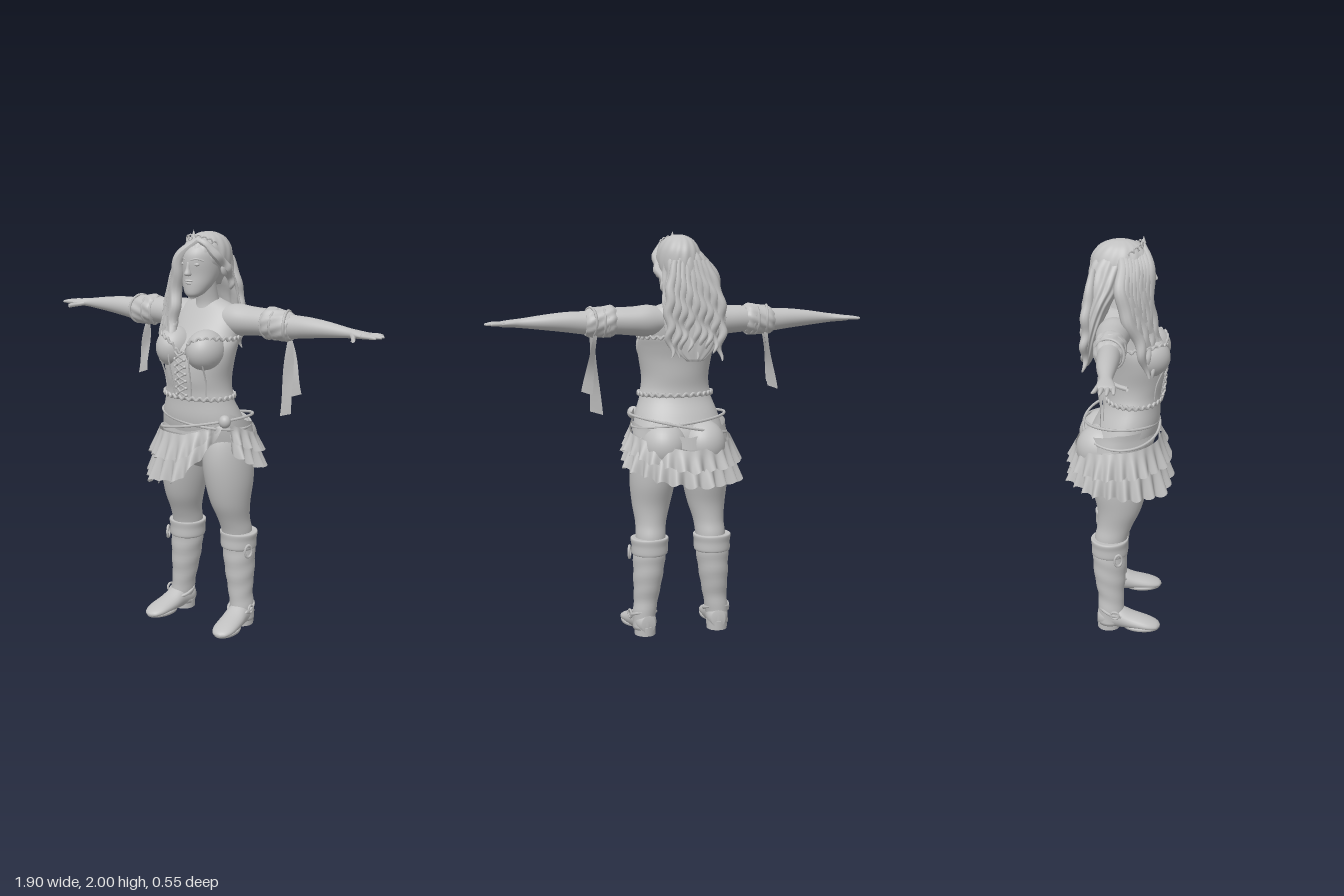
import * as THREE from 'three';

const V = (p) => new THREE.Vector3(...p);
const grey = new THREE.MeshStandardMaterial({ color: 0xc0c0c0, side: THREE.DoubleSide });
grey.name = 'grey';

function add(parent, name, geo, pos = [0, 0, 0], scale = [1, 1, 1], rot = [0, 0, 0]) {
  const m = new THREE.Mesh(geo, grey);
  m.name = name;
  m.position.set(...pos); m.scale.set(...scale); m.rotation.set(...rot);
  parent.add(m);
  return m;
}

function surface(pos, idx) {
  const g = new THREE.BufferGeometry();
  g.setAttribute('position', new THREE.Float32BufferAttribute(pos, 3));
  g.setIndex(idx);
  g.computeVertexNormals();
  return g;
}

// Smooth skin over elliptical rings [t, centreA, centreB, radiusA, radiusB] along an axis
const AXES = { y: (t, a, b) => [a, t, b], x: (t, a, b) => [t, a, b], z: (t, a, b) => [a, b, t] };
function loft(axis, rings, sides = 32, bump = () => 0, per = 5) {
  const mid = new THREE.CatmullRomCurve3(rings.map((r) => V([r[0], r[1], r[2]])), false, 'catmullrom', 0.5);
  const rad = new THREE.CatmullRomCurve3(rings.map((r) => V([r[3], r[4], 0])), false, 'catmullrom', 0.5);
  const n = (rings.length - 1) * per, pos = [], idx = [];
  for (let i = 0; i <= n; i++) {
    const c = mid.getPoint(i / n), r = rad.getPoint(i / n);
    for (let j = 0; j < sides; j++) {
      const a = (j / sides) * Math.PI * 2, k = 1 + bump(a, c.x, i / n);
      pos.push(...AXES[axis](c.x, c.y + Math.cos(a) * r.x * k, c.z + Math.sin(a) * r.y * k));
      if (i < n) {
        const p = i * sides + j, q = i * sides + (j + 1) % sides;
        idx.push(p, p + sides, q, q, p + sides, q + sides);
      }
    }
  }
  [0, n].forEach((i) => {
    const c = mid.getPoint(i / n), o = pos.length / 3;
    pos.push(...AXES[axis](c.x, c.y, c.z));
    for (let j = 0; j < sides; j++) {
      const p = i * sides + j, q = i * sides + (j + 1) % sides;
      idx.push(...(i ? [o, q, p] : [o, p, q]));
    }
  });
  return surface(pos, idx);
}

const ball = new THREE.SphereGeometry(1, 32, 20);
const tube = (pts, r, closed = false, seg = 60) =>
  new THREE.TubeGeometry(new THREE.CatmullRomCurve3(pts.map(V), closed), seg, r, 6, closed);

// Tapered wavy lock of hair
function lock(pts, r, phase) {
  const seg = 40, g = new THREE.TubeGeometry(new THREE.CatmullRomCurve3(pts.map(V)), seg, r, 10);
  const c = new THREE.CatmullRomCurve3(pts.map(V)), p = g.attributes.position;
  for (let i = 0; i < p.count; i++) {
    const t = Math.floor(i / 11) / seg, o = c.getPointAt(t), v = new THREE.Vector3().fromBufferAttribute(p, i);
    v.sub(o).multiplyScalar(Math.pow(Math.sin(Math.PI * (0.12 + 0.87 * t)), 0.6)).add(o);
    v.x += 0.012 * t * Math.sin(t * 24 + phase);
    v.z += 0.009 * t * Math.cos(t * 21 + phase);
    p.setXYZ(i, v.x, v.y, v.z);
  }
  g.computeVertexNormals();
  return g;
}

// Smooth interpolation through [u, y] keys
const keys = (list) => (u) => {
  let i = 0;
  while (i < list.length - 2 && u > list[i + 1][0]) i++;
  const [a, ya] = list[i], [b, yb] = list[i + 1];
  return THREE.MathUtils.lerp(ya, yb, THREE.MathUtils.clamp((u - a) / (b - a), 0, 1));
};

// Cloth wrapped round the hips, from the knot past the front and back to the slit
function wrap(top, bottom, off, slope, pleats, amp) {
  const n = 260, m = 6, pos = [], idx = [];
  for (let i = 0; i <= n; i++) for (let j = 0; j <= m; j++) {
    const u = i / n, v = j / m, th = 0.85 - 6.1 * u, w = u * pleats * 6.283;
    const y = THREE.MathUtils.lerp(top(u), bottom(u), v) + amp * 0.5 * v * Math.sin(w + 1);
    const d = off + slope * Math.max(0, 1.05 - y) + amp * v * (Math.sin(w) + 0.4 * Math.sin(w * 0.37 + 2));
    pos.push(Math.sin(th) * (0.236 + d), y, Math.cos(th) * (0.185 + d));
    if (i < n && j < m) {
      const p = i * (m + 1) + j, q = p + m + 1;
      idx.push(p, q, p + 1, p + 1, q, q + 1);
    }
  }
  return surface(pos, idx);
}

function buildBody(g) {
  add(g, 'torso', loft('y', [[0.83, 0, 0, 0.09, 0.07], [0.9, 0, 0, 0.21, 0.14], [1, 0, 0.01, 0.23, 0.165],
    [1.1, 0, 0.04, 0.212, 0.155], [1.2, 0, 0.065, 0.178, 0.13], [1.3, 0, 0.07, 0.165, 0.138], [1.42, 0, 0.06, 0.182, 0.14],
    [1.5, 0, 0.02, 0.185, 0.12], [1.58, 0, -0.01, 0.18, 0.095], [1.63, 0, -0.02, 0.14, 0.07], [1.66, 0, -0.02, 0.06, 0.05]], 48));
  add(g, 'neck', loft('y', [[1.6, 0, -0.01, 0.075, 0.07], [1.66, 0, 0, 0.056, 0.056], [1.78, 0, 0.03, 0.053, 0.055]]));
  // Head and face
  add(g, 'head', loft('y', [[1.682, 0, 0.115, 0.022, 0.022], [1.7, 0, 0.1, 0.048, 0.05], [1.74, 0, 0.075, 0.071, 0.077],
    [1.79, 0, 0.05, 0.085, 0.1], [1.85, 0, 0.035, 0.092, 0.12], [1.9, 0, 0.025, 0.09, 0.12], [1.95, 0, 0.01, 0.065, 0.09], [1.97, 0, 0, 0.02, 0.03]]));
  add(g, 'nose', loft('y', [[1.785, 0, 0.15, 0.013, 0.012], [1.795, 0, 0.155, 0.017, 0.022], [1.82, 0, 0.15, 0.01, 0.016], [1.85, 0, 0.147, 0.008, 0.01]], 12));
  add(g, 'upperLip', ball, [0, 1.762, 0.147], [0.024, 0.006, 0.012]);
  add(g, 'lowerLip', ball, [0, 1.75, 0.144], [0.02, 0.007, 0.012]);
}

// Parts shared by both sides, modelled for +x
function buildSide(s) {
  add(s, 'eye', ball, [0.035, 1.84, 0.136], [0.018, 0.009, 0.012]);
  add(s, 'brow', tube([[0.014, 1.86, 0.15], [0.038, 1.866, 0.141], [0.065, 1.857, 0.118]], 0.005));
  add(s, 'ear', ball, [0.103, 1.81, 0.005], [0.013, 0.034, 0.022], [0.2, 0, 0]);
  add(s, 'breast', ball, [0.09, 1.435, 0.135], [0.09, 0.1, 0.108]);
  add(s, 'buttock', ball, [0.098, 0.96, -0.09], [0.115, 0.125, 0.125]);
  add(s, 'arm', loft('x', [[0.08, 1.57, -0.02, 0.06, 0.07], [0.16, 1.57, -0.025, 0.077, 0.08], [0.24, 1.57, -0.03, 0.07, 0.075],
    [0.34, 1.572, -0.03, 0.064, 0.066], [0.45, 1.565, -0.03, 0.058, 0.055], [0.56, 1.57, -0.03, 0.049, 0.05], [0.66, 1.571, -0.03, 0.038, 0.042],
    [0.77, 1.569, -0.025, 0.024, 0.029], [0.82, 1.568, -0.022, 0.019, 0.036], [0.87, 1.566, -0.022, 0.014, 0.045], [0.885, 1.566, -0.022, 0.008, 0.038]]));
  // Fingers and thumb
  [[-0.055, -0.073, 0.925], [-0.034, -0.041, 0.947], [-0.01, -0.012, 0.95], [0.013, 0.017, 0.937]].forEach(([z0, z1, x]) =>
    add(s, 'finger', loft('x', [[0.86, 1.567, z0, 0.009, 0.01], [0.91, 1.567, (z0 + z1) / 2, 0.009, 0.0095], [x, 1.565, z1, 0.005, 0.005]], 10)));
  add(s, 'thumb', tube([[0.805, 1.565, 0], [0.83, 1.56, 0.03], [0.852, 1.556, 0.07]], 0.011));
  // Gathered arm band with ribbons
  add(s, 'armBand', loft('x', [[0.325, 1.572, -0.03, 0.064, 0.064], [0.35, 1.572, -0.03, 0.076, 0.076], [0.4, 1.568, -0.03, 0.073, 0.07],
    [0.45, 1.564, -0.03, 0.069, 0.068], [0.475, 1.562, -0.03, 0.056, 0.054]], 40, (a, t) => 0.035 * Math.sin(a * 9 + t * 60)));
  [0.35, 0.385, 0.445].forEach((x, i) =>
    add(s, 'bandTie', new THREE.TorusGeometry(0.07, 0.007, 6, 32), [x, 1.568, -0.03], [1, 1, 1], [0, Math.PI / 2 + 0.25 * (i - 1), 0]));
  // Leg
  add(s, 'leg', loft('y', [[0.42, 0.155, -0.045, 0.07, 0.075], [0.5, 0.155, -0.04, 0.075, 0.082], [0.57, 0.15, -0.02, 0.077, 0.088],
    [0.66, 0.143, 0, 0.095, 0.11], [0.77, 0.136, 0, 0.112, 0.138], [0.88, 0.128, 0, 0.116, 0.15], [0.98, 0.12, 0, 0.108, 0.14], [1.06, 0.11, 0.01, 0.08, 0.1]]));
  // Boot
  add(s, 'bootShaft', loft('y', [[0.03, 0.192, -0.045, 0.055, 0.06], [0.1, 0.19, -0.04, 0.058, 0.066], [0.18, 0.18, -0.04, 0.061, 0.065],
    [0.28, 0.172, -0.045, 0.072, 0.078], [0.38, 0.165, -0.047, 0.08, 0.085], [0.44, 0.162, -0.047, 0.082, 0.085]], 32,
    (a, t) => 0.02 * Math.sin(t * 70 + 2 * Math.sin(a))));
  add(s, 'bootCuff', loft('y', [[0.41, 0.162, -0.047, 0.08, 0.082], [0.42, 0.162, -0.047, 0.09, 0.091], [0.46, 0.162, -0.047, 0.091, 0.091],
    [0.495, 0.162, -0.047, 0.095, 0.094], [0.497, 0.16, -0.045, 0.072, 0.08]], 40));
  add(s, 'cuffBuckle', new THREE.TorusGeometry(0.025, 0.007, 6, 20), [0.254, 0.415, 0], [0.8, 1.2, 1], [0, Math.PI / 2 - 0.4, 0]);
  const foot = new THREE.Group();
  foot.name = 'foot';
  foot.position.set(0.19, 0, -0.04);
  foot.rotation.y = 0.12;
  s.add(foot);
  add(foot, 'shoe', loft('z', [[-0.065, 0, 0.06, 0.035, 0.045], [-0.03, 0, 0.066, 0.054, 0.056], [0.04, 0, 0.066, 0.056, 0.058],
    [0.11, 0, 0.05, 0.06, 0.042], [0.19, 0, 0.037, 0.058, 0.029], [0.235, 0, 0.029, 0.04, 0.018], [0.252, 0, 0.026, 0.012, 0.007]], 24));
  add(foot, 'sole', loft('y', [[0.012, 0, 0.155, 0.057, 0.092], [0.022, 0, 0.155, 0.06, 0.096], [0.03, 0, 0.155, 0.057, 0.092]], 32));
  add(foot, 'heel', new THREE.CylinderGeometry(0.054, 0.052, 0.045, 24), [0, 0.0225, -0.012], [1, 1, 1.08]);
  add(foot, 'ankleStrap', new THREE.TorusGeometry(0.063, 0.008, 6, 32), [0, 0.1, 0.012], [1, 1.12, 1], [Math.PI / 2 + 0.35, 0, 0]);
  add(foot, 'ankleBuckle', new THREE.TorusGeometry(0.02, 0.006, 6, 18), [0.064, 0.1, 0.03], [1, 1, 1], [0, Math.PI / 2, 0]);
  // Corset seams
  [[0.05, 0.198, 0.24, 0.235], [0.115, 0.17, 0.175, 0.22]].forEach(([x, z0, z1, z2], i) =>
    add(s, 'corsetSeam', tube([[x, 1.21, z0 - 0.004], [x + 0.006, 1.3, i ? 0.178 : 0.212], [x + 0.01, 1.4, z2 + (i ? -0.006 : -0.004)], [x + 0.012, 1.46, z1 + (i ? 0.035 : -0.015)]], 0.004)));
}

function buildCorset(g) {
  add(g, 'corset', loft('y', [[1.195, 0, 0.065, 0.186, 0.137], [1.24, 0, 0.068, 0.173, 0.138], [1.3, 0, 0.07, 0.171, 0.146],
    [1.38, 0, 0.066, 0.184, 0.148], [1.44, 0, 0.05, 0.192, 0.145], [1.48, 0, 0.025, 0.193, 0.13], [1.495, 0, 0.017, 0.188, 0.122]], 48));
  // Frilled edges
  const half = [[0.02, 1.43, 0.205], [0.06, 1.48, 0.226], [0.11, 1.5, 0.212], [0.16, 1.5, 0.15], [0.193, 1.49, 0.05], [0.165, 1.49, -0.05], [0.07, 1.49, -0.103]];
  const rim = new THREE.CatmullRomCurve3([...half, ...half.slice().reverse().map(([x, y, z]) => [-x, y, z])].map(V), true);
  const frill = (f, n, r) => tube(Array.from({ length: n }, (_, i) => f(i / n, i)), r, true, 300);
  add(g, 'topFrill', frill((u, i) => { const p = rim.getPointAt(u); return [p.x, p.y + (i % 2 ? 0.007 : -0.007), p.z]; }, 72, 0.007));
  add(g, 'bottomFrill', frill((u, i) => [Math.sin(u * 6.283) * 0.187, 1.205 + (i % 2 ? 0.007 : -0.007), 0.065 + Math.cos(u * 6.283) * 0.139], 60, 0.008));
  // Front lacing
  for (let i = 0; i < 6; i++) {
    const y = 1.22 + i * 0.035, z = 0.208 + i * 0.003;
    [-1, 1].forEach((d) => {
      add(g, 'lace', tube([[-0.026 * d, y, z], [0, y + 0.018, z + 0.01], [0.026 * d, y + 0.035, z + 0.002]], 0.005, false, 10));
      add(g, 'eyelet', ball, [0.028 * d, y, z], [0.008, 0.008, 0.008]);
    });
  }
}

function buildSkirt(g) {
  const top = keys([[0, 1.13], [0.14, 1.09], [0.4, 1.08], [0.65, 1.01], [0.9, 1.08], [1, 1.13]]);
  const hem = keys([[0, 1.08], [0.14, 1.02], [0.4, 1], [0.65, 0.95], [0.9, 1.03], [1, 1.08]]);
  add(g, 'sash', wrap(top, hem, 0, 0.12, 5, 0.004));
  add(g, 'upperRuffle', wrap(hem, keys([[0, 1.07], [0.06, 1], [0.14, 0.89], [0.4, 0.875], [0.65, 0.85], [0.9, 0.94], [1, 1]]), 0.008, 0.34, 24, 0.015));
  add(g, 'lowerRuffle', wrap(keys([[0, 1.075], [0.14, 0.93], [0.4, 0.93], [0.65, 0.91], [0.9, 0.98], [1, 1.03]]),
    keys([[0, 1.06], [0.07, 0.92], [0.14, 0.79], [0.25, 0.755], [0.4, 0.78], [0.65, 0.775], [0.9, 0.86], [1, 0.94]]), 0, 0.27, 22, 0.02));
  // Slanted belts
  [[1.06, 0.05, 0.244, 0.19], [1.08, -0.03, 0.234, 0.184]].forEach(([y, tilt, rx, rz]) =>
    add(g, 'belt', tube(Array.from({ length: 24 }, (_, i) => {
      const a = (i / 24) * 6.283;
      return [Math.sin(a) * rx, y + tilt * Math.sin(a), 0.005 + Math.cos(a) * rz];
    }), 0.007, true, 100)));
  add(g, 'knot', ball, [0.2, 1.1, 0.13], [0.03, 0.032, 0.028]);
}

function buildHair(g) {
  const strand = (a, t, u) => 0.035 * Math.sin(a * 13 + t * 22) + 0.02 * Math.sin(a * 7 - t * 45);
  add(g, 'hairCap', loft('y', [[1.73, -0.005, -0.06, 0.06, 0.06], [1.79, -0.005, -0.035, 0.095, 0.1], [1.85, -0.003, -0.005, 0.11, 0.138],
    [1.91, 0, 0, 0.1, 0.135], [1.955, 0, 0, 0.073, 0.1], [1.978, 0, 0, 0.035, 0.05], [1.983, 0, 0, 0.005, 0.008]], 80,
    (a, t) => 0.015 * Math.sin(a * 15 + t * 30)));
  add(g, 'backHair', loft('y', [[1.38, -0.04, -0.16, 0.04, 0.012], [1.45, -0.04, -0.145, 0.11, 0.03], [1.56, -0.045, -0.13, 0.15, 0.042],
    [1.68, -0.045, -0.105, 0.148, 0.06], [1.78, -0.035, -0.07, 0.13, 0.08], [1.87, -0.015, -0.05, 0.105, 0.09], [1.93, 0, -0.03, 0.07, 0.07]], 90, strand));
  // Ragged tips down the back
  for (let i = 0; i < 9; i++) {
    const x = -0.17 + i * 0.032, e = 1.38 + 0.05 * Math.abs(Math.sin(i * 2.3));
    add(g, 'backLock', lock([[x * 0.6, 1.86, -0.125], [x * 0.95, 1.68, -0.15], [x, 1.52, -0.16], [x * 0.95, e, -0.17]], 0.026, i * 1.7));
  }
  // Locks swept over the right shoulder
  for (let i = 0; i < 9; i++) {
    const k = i / 8, x = -0.075 - 0.1 * k;
    add(g, 'frontLock', lock([[0.02 - 0.07 * k, 1.95 - 0.02 * k, 0.1 - 0.1 * k], [-0.06 - 0.055 * k, 1.87, 0.135 - 0.12 * k], [x - 0.01, 1.76, 0.13 - 0.12 * k],
      [x - 0.015, 1.62, 0.145 - 0.09 * k], [x - 0.008, 1.5, 0.185 - 0.08 * k], [-0.12 - 0.06 * k, 1.4 + 0.05 * Math.sin(i * 2.1), 0.215 - 0.08 * k]], 0.033, i * 1.3));
  }
  add(g, 'templeLock', lock([[0.01, 1.955, 0.1], [0.06, 1.93, 0.09], [0.096, 1.87, 0.05], [0.1, 1.8, -0.03], [0.075, 1.68, -0.1]], 0.024, 0));
  // Tiara of small rings
  for (let i = -4; i <= 4; i++) {
    const a = i * 0.27;
    add(g, 'tiaraRing', new THREE.TorusGeometry(0.014, 0.004, 6, 16), [Math.sin(a) * 0.09, 1.962 - 0.002 * i * i, 0.005 + Math.cos(a) * 0.1], [1, 1, 1], [0, a, 0]);
  }
  add(g, 'tiaraPoint', new THREE.ConeGeometry(0.012, 0.035, 10), [0, 1.982, 0.108]);
}

// Hanging ribbon with a slight twist
function ribbon(g, x0, x1, y1, w, z) {
  const pos = [], idx = [];
  for (let i = 0; i <= 10; i++) {
    const t = i / 10, x = THREE.MathUtils.lerp(x0, x1, t), y = THREE.MathUtils.lerp(1.51, y1, t), h = w * (0.35 + 0.65 * t);
    const b = 0.012 * Math.sin(t * 5);
    pos.push(x - h, y - 0.01 * t, z + b + 0.012 * t, x + h, y + 0.01 * t, z - b - 0.012 * t);
    if (i < 10) idx.push(2 * i, 2 * i + 2, 2 * i + 1, 2 * i + 1, 2 * i + 2, 2 * i + 3);
  }
  add(g, 'ribbon', surface(pos, idx));
}

export function createModel() {
  const g = new THREE.Group();
  g.name = 'dancer';
  buildBody(g);
  const left = new THREE.Group();
  left.name = 'leftSide';
  buildSide(left);
  const right = left.clone();
  right.name = 'rightSide';
  right.scale.x = -1;
  g.add(left, right);
  buildCorset(g);
  buildSkirt(g);
  buildHair(g);
  ribbon(g, 0.43, 0.475, 1.23, 0.028, -0.07);
  ribbon(g, 0.445, 0.425, 1.13, 0.032, -0.055);
  ribbon(g, -0.43, -0.47, 1.23, 0.028, -0.07);
  ribbon(g, -0.42, -0.46, 1.25, 0.02, -0.055);
  return g;
}
